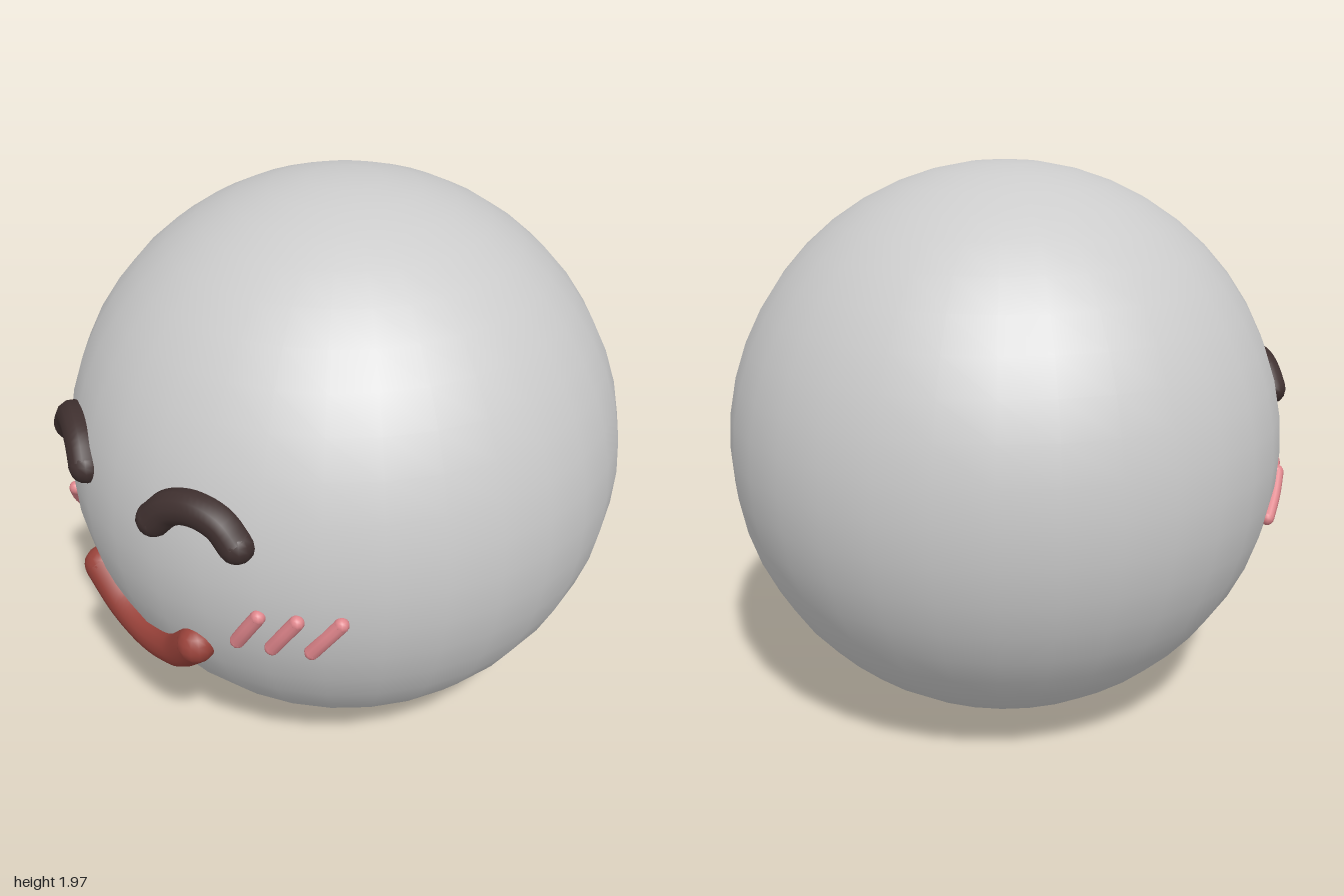
import * as THREE from 'three';

const R = 0.985;
const CENTRE = new THREE.Vector3(0, 0.99, -0.015);

// Lifts a front-view point onto the surface of the ball
function onBall(x, y) {
  const dy = y - CENTRE.y;
  return new THREE.Vector3(x, y, CENTRE.z + Math.sqrt(R * R - x * x - dy * dy));
}

// Round-ended stroke that follows the ball through front-view points
function stroke(name, points, radius, material, segments, sides) {
  const group = new THREE.Group();
  group.name = name;
  const curve = new THREE.CatmullRomCurve3(points.map(([x, y]) => onBall(x, y)));
  const tube = new THREE.Mesh(new THREE.TubeGeometry(curve, segments, radius, sides), material);
  tube.name = name + 'Body';
  group.add(tube);
  for (const t of [0, 1]) {
    const cap = new THREE.Mesh(new THREE.SphereGeometry(radius, sides, 8), material);
    cap.name = name + 'End';
    cap.position.copy(curve.getPoint(t));
    group.add(cap);
  }
  return group;
}

export function createModel() {
  const model = new THREE.Group();
  model.name = 'smilingBall';

  const grey = new THREE.MeshStandardMaterial({ color: 0xcccccc });
  const dark = new THREE.MeshStandardMaterial({ color: 0x3f302f });
  const red = new THREE.MeshStandardMaterial({ color: 0x99423a });
  const pink = new THREE.MeshStandardMaterial({ color: 0xe0868c });

  // Head
  const head = new THREE.Mesh(new THREE.SphereGeometry(R, 32, 24), grey);
  head.name = 'head';
  head.position.copy(CENTRE);
  model.add(head);

  // Closed, arched eyes
  const arch = [[0.2, 1.15], [0.255, 1.208], [0.34, 1.232], [0.425, 1.208], [0.48, 1.15]];
  for (const [side, name] of [[1, 'leftEye'], [-1, 'rightEye']]) {
    model.add(stroke(name, arch.map(([x, y]) => [side * x, y]), 0.058, dark, 20, 12));
  }

  // Smiling mouth
  const smile = [[-0.285, 0.675], [-0.16, 0.573], [0, 0.535], [0.16, 0.573], [0.285, 0.675]];
  model.add(stroke('mouth', smile, 0.066, red, 28, 14));

  // Three slanted blush marks per cheek, leaning the same way on both sides
  for (const [start, name] of [[0.457, 'leftBlush'], [-0.737, 'rightBlush']]) {
    for (let i = 0; i < 3; i++) {
      const x = start + i * 0.098;
      model.add(stroke(name + (i + 1), [[x, 0.772], [x + 0.04, 0.835], [x + 0.08, 0.9]], 0.025, pink, 6, 10));
    }
  }

  return model;
}
